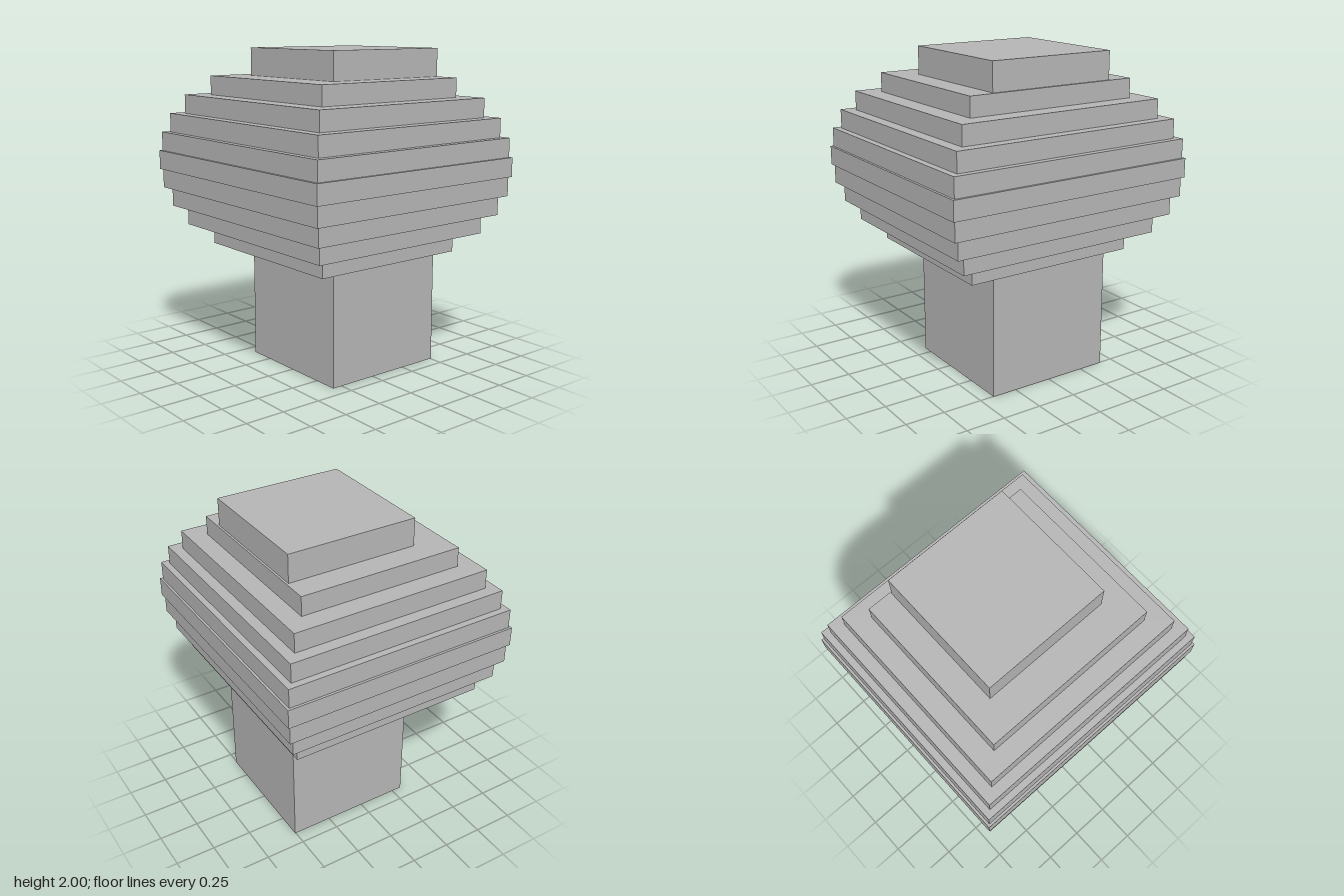
import * as THREE from 'three';

export function createModel() {
  const model = new THREE.Group();
  const stone = new THREE.MeshStandardMaterial({ color: 0xb4b4b4 });
  stone.name = 'grey stone';

  // Box spanning y0..y1, centred on x and z = 0
  const block = (name, width, depth, y0, y1, x = 0) => {
    const mesh = new THREE.Mesh(new THREE.BoxGeometry(width, y1 - y0, depth), stone);
    mesh.name = name;
    mesh.position.set(x, (y0 + y1) / 2, 0);
    model.add(mesh);
  };

  // Square core, offset to one side: trunk below the tiers, cap above them
  block('trunk', 0.82, 0.82, 0, 0.748, 0.095);
  block('cap', 0.82, 0.82, 1.826, 2, 0.095);

  // Stepped crown: tier sizes from the ends to the middle, mirrored vertically
  const sizes = [[1.036, 1.128], [1.27, 1.376], [1.404, 1.526], [1.483, 1.61], [1.512, 1.64]];
  const count = sizes.length * 2 - 1;
  const step = (1.826 - 0.748) / count;
  for (let i = 0; i < count; i++) {
    const [width, depth] = sizes[Math.min(i, count - 1 - i)];
    block(`crownTier${i + 1}`, width, depth, 0.748 + i * step, 0.748 + (i + 1) * step);
  }

  return model;
}
